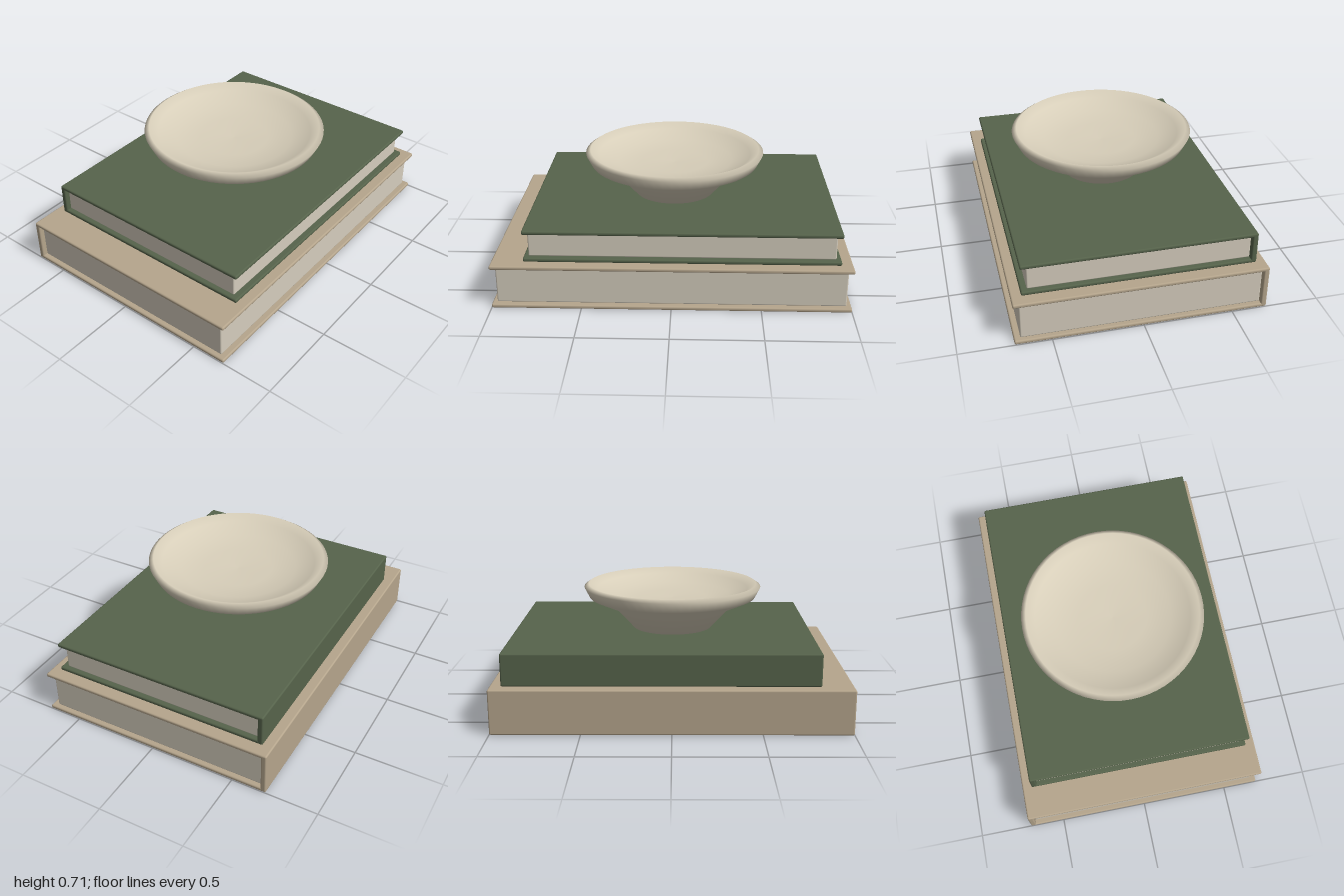
import * as THREE from 'three';
import { RoundedBoxGeometry } from 'three/addons/geometries/RoundedBoxGeometry.js';

const material = (color) => new THREE.MeshStandardMaterial({ color });

// Rounded block given by its [min, max] extent on each axis
function block(name, [x0, x1], [y0, y1], [z0, z1], radius, mat) {
  const geometry = new RoundedBoxGeometry(x1 - x0, y1 - y0, z1 - z0, 3, radius);
  const mesh = new THREE.Mesh(geometry, mat);
  mesh.name = name;
  mesh.position.set((x0 + x1) / 2, (y0 + y1) / 2, (z0 + z1) / 2);
  return mesh;
}

// Closed hardback lying flat, spine at the back, page edges set in from the covers
function book(name, [x0, x1], [y0, y1], [z0, z1], coverMat, pageMat) {
  const board = 0.023, spine = 0.032, inset = 0.027;
  const group = new THREE.Group();
  group.name = name;
  group.add(
    block('bottomCover', [x0, x1], [y0, y0 + board], [z0, z1], 0.009, coverMat),
    block('topCover', [x0, x1], [y1 - board, y1], [z0, z1], 0.009, coverMat),
    block('spine', [x0, x1], [y0, y1], [z0, z0 + spine], 0.009, coverMat),
    block('pages', [x0 + inset, x1 - inset], [y0 + board - 0.002, y1 - board + 0.002],
      [z0 + spine - 0.001, z1 - 0.034], 0.008, pageMat)
  );
  return group;
}

export function createModel() {
  const model = new THREE.Group();
  model.name = 'booksWithBowl';
  const pageMat = material(0xd5cdbd);

  model.add(
    book('lowerBook', [-1, 1], [0, 0.258], [-0.7, 0.7], material(0xb5a58c), pageMat),
    book('upperBook', [-0.82, 0.935], [0.26, 0.446], [-0.645, 0.645], material(0x56634b), pageMat)
  );

  // Shallow dish: foot, flared outside, rim, then the inside back to the centre
  const profile = [
    [0, 0.446], [0.235, 0.446], [0.345, 0.568], [0.497, 0.636], [0.527, 0.695],
    [0.5, 0.713], [0.45, 0.682], [0.34, 0.642], [0.2, 0.626], [0, 0.62],
  ].map(([r, y]) => new THREE.Vector2(r, y));
  const bowlMat = material(0xd8cfba);
  bowlMat.side = THREE.DoubleSide;
  const bowl = new THREE.Mesh(new THREE.LatheGeometry(profile, 64), bowlMat);
  bowl.name = 'bowl';
  model.add(bowl);

  return model;
}
